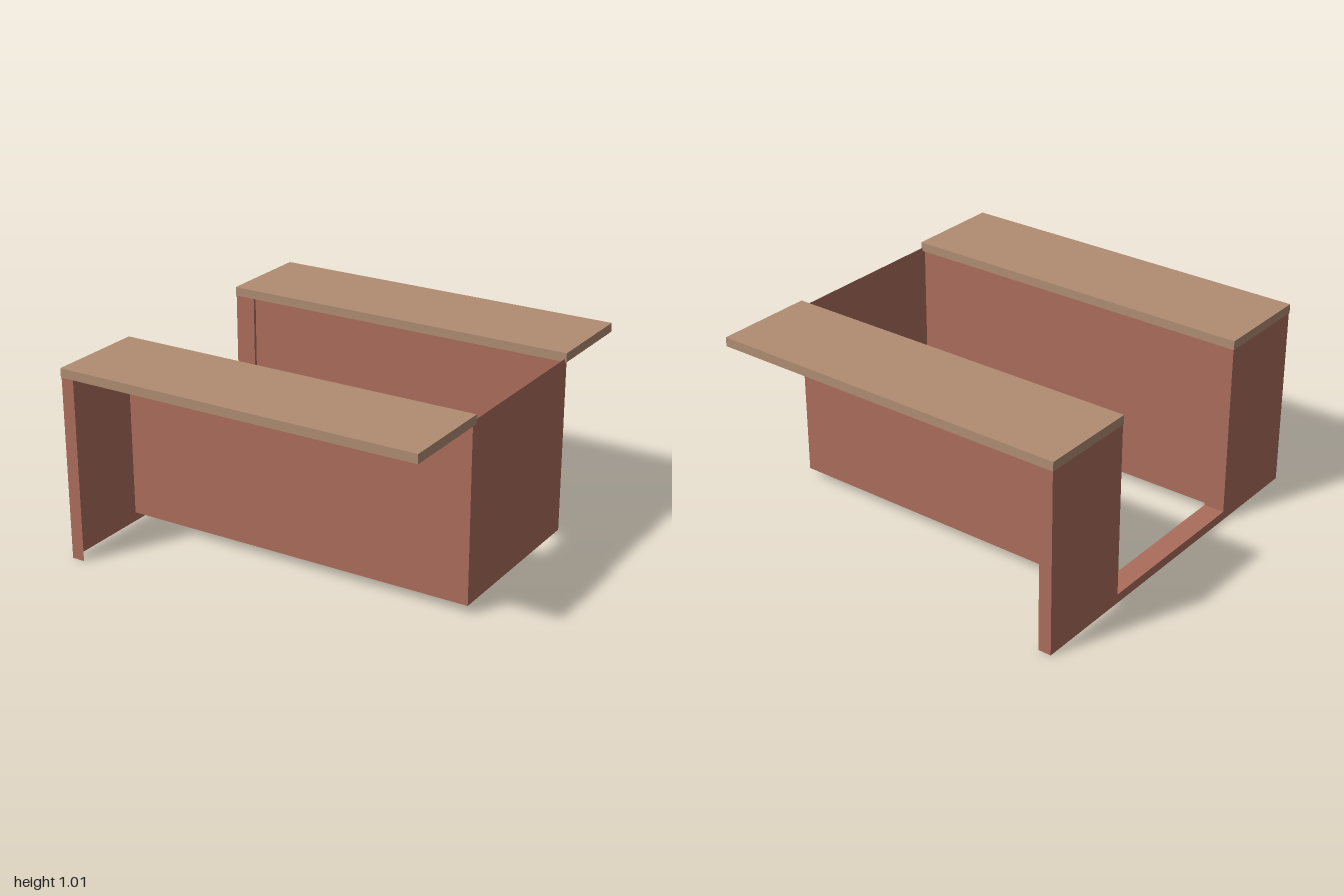
import * as THREE from 'three';

export function createModel() {
  const model = new THREE.Group();
  const wood = new THREE.MeshStandardMaterial({ color: 0xb08d72, side: THREE.DoubleSide });
  wood.name = 'tan worktop';
  const panel = new THREE.MeshStandardMaterial({ color: 0xab6d5b, side: THREE.DoubleSide });
  panel.name = 'terracotta panel';

  const L = 0.985, R = 0.98, IN = 0.47, WALL = 0.487, POST = -0.873;
  const LOW = 0.048, HIGH = 0.985, TOP = 1.015, SKIRT = 0.967;

  const add = (name, geo, mat, parent = model) => {
    const mesh = new THREE.Mesh(geo, mat);
    mesh.name = name;
    parent.add(mesh);
    return mesh;
  };
  // Flat sheets facing z, x and y, given by their limits
  const sheetZ = (x0, x1, y0, y1, z) =>
    new THREE.PlaneGeometry(x1 - x0, y1 - y0).translate((x0 + x1) / 2, (y0 + y1) / 2, z);
  const sheetX = (z0, z1, y0, y1, x) =>
    new THREE.PlaneGeometry(z1 - z0, y1 - y0).rotateY(Math.PI / 2).translate(x, (y0 + y1) / 2, (z0 + z1) / 2);
  const sheetY = (x0, x1, z0, z1, y) =>
    new THREE.PlaneGeometry(x1 - x0, z1 - z0).rotateX(-Math.PI / 2).translate((x0 + x1) / 2, y, (z0 + z1) / 2);

  // U-shaped end panel with the entrance cut out
  const u = new THREE.Shape([
    [-0.998, 0], [0.998, 0], [0.998, HIGH], [IN, HIGH],
    [IN, LOW], [-IN, LOW], [-IN, HIGH], [-0.998, HIGH],
  ].map(([a, b]) => new THREE.Vector2(a, b)));
  add('endPanel', new THREE.ShapeGeometry(u).rotateY(-Math.PI / 2).translate(-L, 0, 0), panel);
  add('entranceSill', sheetY(-L, POST, -WALL, WALL, LOW), panel);
  add('farEndWall', sheetX(-WALL, WALL, LOW, HIGH, R), panel);

  for (const s of [1, -1]) {
    const side = s > 0 ? 'front' : 'back';
    // Long wall, entrance post and the narrow return on the end panel
    add(side + 'Wall', sheetZ(POST, R, LOW, HIGH, s * WALL), panel);
    const post = add(side + 'Post', new THREE.BoxGeometry(POST + L, HIGH - LOW, WALL - IN), panel);
    post.position.set((POST - L) / 2, (HIGH + LOW) / 2, s * (WALL + IN) / 2);
    add(side + 'PanelReturn', sheetZ(-L, -0.915, 0, HIGH, s * 0.998), panel);

    // Worktop: a sheet with a skirt round its edge, open underneath
    const top = new THREE.Group();
    top.name = side + 'Worktop';
    model.add(top);
    const z0 = s > 0 ? 0.468 : -1, z1 = z0 + 0.532, E = 0.988;
    add('surface', sheetY(-E, E, z0, z1, TOP), wood, top);
    for (const z of [z0, z1]) add('longSkirt', sheetZ(-E, E, SKIRT, TOP, z), wood, top);
    for (const x of [-E, E]) add('endSkirt', sheetX(z0, z1, SKIRT, TOP, x), wood, top);
  }
  return model;
}
